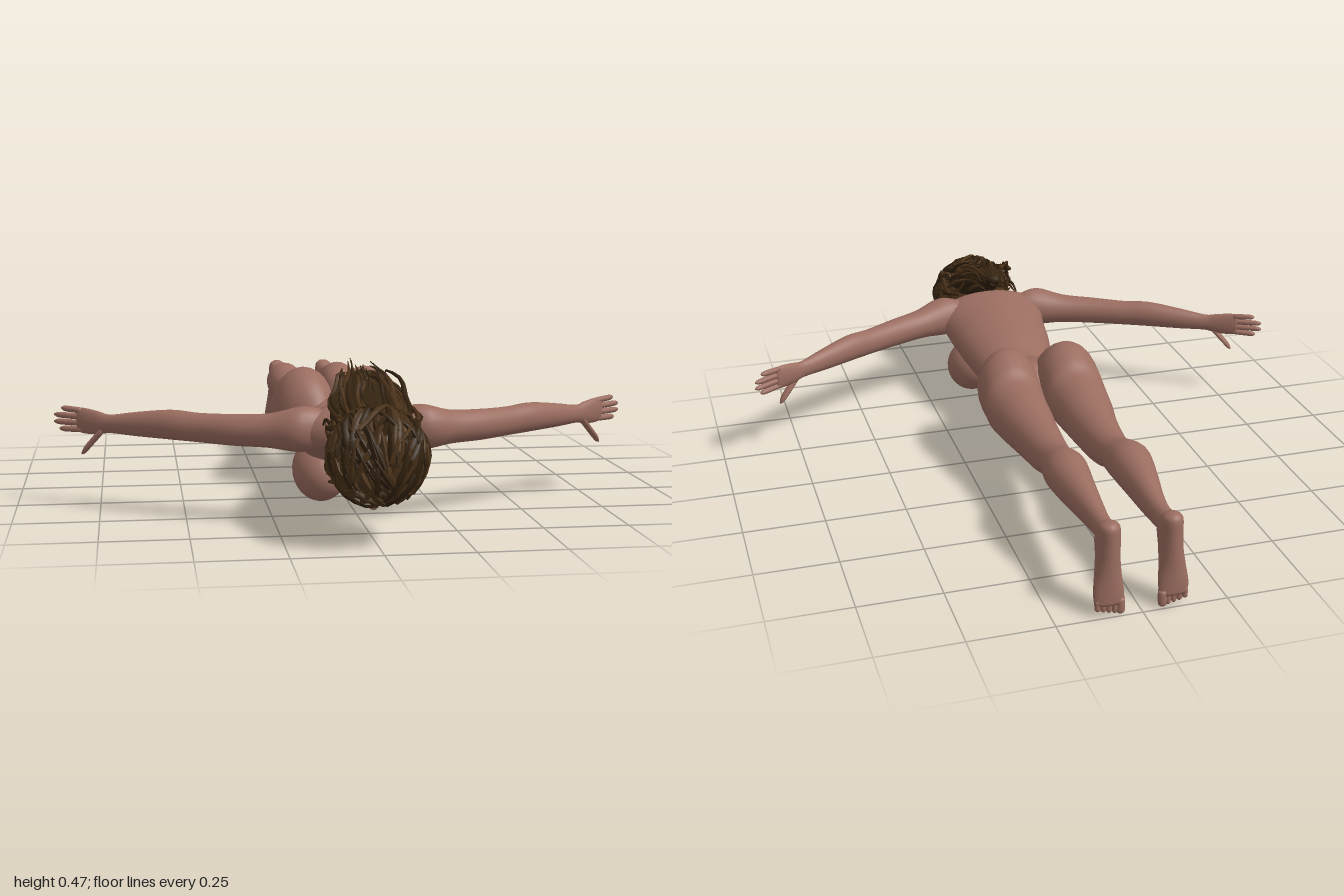
import * as THREE from 'three';
import { mergeGeometries } from 'three/addons/utils/BufferGeometryUtils.js';

const skin = new THREE.MeshStandardMaterial({ color: 0x9b6d60 });
skin.name = 'skin';
const hair = new THREE.MeshStandardMaterial({ color: 0x4c331a, side: THREE.DoubleSide });
hair.name = 'brown hair';
const darkHair = new THREE.MeshStandardMaterial({ color: 0x33220f, side: THREE.DoubleSide });
darkHair.name = 'dark hair';

const V = (x, y, z) => new THREE.Vector3(x, y, z);
const X = V(1, 0, 0), Y = V(0, 1, 0), Z = V(0, 0, 1);

let seed = 7;
const rnd = (a = 0, b = 1) => {
  seed = (seed * 16807) % 2147483647;
  return a + (b - a) * seed / 2147483647;
};

// Smooth closed skin through elliptical sections [x, y, z, radiusAlongU, radiusAlongV]
function loft(sections, u, v, sides = 24, steps = 4) {
  const path = new THREE.CatmullRomCurve3(sections.map(s => V(s[0], s[1], s[2])), false, 'catmullrom');
  const size = new THREE.CatmullRomCurve3(sections.map(s => V(s[3], s[4], 0)), false, 'catmullrom');
  const rings = (sections.length - 1) * steps, pos = [], idx = [];
  for (let i = 0; i <= rings; i++) {
    const c = path.getPoint(i / rings), r = size.getPoint(i / rings);
    for (let j = 0; j < sides; j++) {
      const a = j / sides * Math.PI * 2;
      const p = c.clone().addScaledVector(u, Math.cos(a) * r.x).addScaledVector(v, Math.sin(a) * r.y);
      pos.push(p.x, p.y, p.z);
    }
  }
  const first = path.getPoint(0), last = path.getPoint(1);
  const flip = u.clone().cross(v).dot(last.clone().sub(first)) < 0;
  const tri = (a, b, c) => flip ? idx.push(a, c, b) : idx.push(a, b, c);
  const n0 = (rings + 1) * sides;
  pos.push(first.x, first.y, first.z, last.x, last.y, last.z);
  for (let j = 0; j < sides; j++) {
    const k = (j + 1) % sides;
    for (let i = 0; i < rings; i++) {
      const a = i * sides, b = a + sides;
      tri(a + j, a + k, b + k);
      tri(a + j, b + k, b + j);
    }
    tri(n0, k, j);
    tri(n0 + 1, rings * sides + j, rings * sides + k);
  }
  const g = new THREE.BufferGeometry();
  g.setAttribute('position', new THREE.Float32BufferAttribute(pos, 3));
  g.setIndex(idx);
  g.computeVertexNormals();
  return g;
}

// Finger or toe: tapered digit with a rounded tip
function digit(a, b, r, u, v) {
  const at = (t, k) => [...a.clone().lerp(b, t).toArray(), r * k, r * k];
  return loft([at(0, 1), at(0.5, 1), at(0.85, 0.9), at(1, 0.3)], u, v, 10, 3);
}

// Lock of hair tapering to a point
function lock(points, r) {
  const curve = new THREE.CatmullRomCurve3(points), n = 10, sides = 5;
  const g = new THREE.TubeGeometry(curve, n, r, sides, false), p = g.attributes.position;
  for (let i = 0; i <= n; i++) {
    const c = curve.getPointAt(i / n), k = 1 - 0.85 * (i / n) ** 2;
    for (let j = 0; j <= sides; j++) {
      const q = i * (sides + 1) + j;
      const w = V().fromBufferAttribute(p, q).sub(c).multiplyScalar(k).add(c);
      p.setXYZ(q, w.x, w.y, w.z);
    }
  }
  g.computeVertexNormals();
  return g;
}

export function createModel() {
  const model = new THREE.Group();
  const add = (name, geometry, material = skin, parent = model) => {
    const m = new THREE.Mesh(geometry, material);
    m.name = name;
    parent.add(m);
    return m;
  };
  const ball = (name, x, y, z, rx, ry, rz, material = skin, parent = model) => {
    const m = add(name, new THREE.SphereGeometry(1, 32, 20), material, parent);
    m.position.set(x, y, z);
    m.scale.set(rx, ry, rz);
    return m;
  };

  // Torso, from shoulders to hips
  add('torso', loft([
    [0, .27, .685, .05, .04], [0, .27, .655, .15, .062], [0, .265, .6, .185, .083],
    [0, .235, .5, .17, .105], [0, .22, .4, .158, .104], [0, .205, .3, .138, .098],
    [0, .19, .2, .116, .08], [0, .2, .12, .14, .092], [0, .205, .05, .17, .092],
    [0, .185, -.02, .14, .066], [0, .18, -.06, .05, .03]], X, Y, 36));
  add('neck', loft([[0, .275, .62, .075, .06], [0, .26, .69, .055, .055],
    [0, .24, .76, .052, .055], [0, .23, .83, .055, .055]], X, Y));

  // Head, facing down
  const head = new THREE.Group();
  head.name = 'head';
  model.add(head);
  add('face', loft([[0, .135, .725, .02, .02], [0, .15, .735, .045, .045], [0, .175, .775, .069, .07],
    [0, .19, .83, .084, .086], [0, .2, .89, .087, .09], [0, .22, .95, .05, .06]], X, Y), skin, head);
  add('nose', loft([[0, .112, .86, .008, .01], [0, .1, .83, .011, .014],
    [0, .1, .805, .017, .018], [0, .112, .794, .008, .008]], X, Y, 12), skin, head);
  ball('lips', 0, .116, .768, .026, .012, .011, skin, head);

  for (const s of [1, -1]) {
    const side = s > 0 ? 'left' : 'right';
    const chest = ball(side + 'Chest', s * .105, .133, .475, .082, .087, .108);
    chest.rotation.x = .4;

    // Leg, buttock to ankle
    add(side + 'Leg', loft([
      [.07, .21, .15, .035, .045], [.09, .228, .1, .08, .105], [.1, .247, .02, .098, .132],
      [.102, .235, -.06, .098, .117], [.103, .22, -.11, .097, .098], [.1, .217, -.2, .087, .088],
      [.095, .213, -.3, .073, .076], [.092, .215, -.42, .06, .065], [.092, .23, -.5, .054, .055],
      [.097, .247, -.6, .065, .067], [.095, .241, -.7, .053, .06], [.09, .232, -.8, .038, .048],
      [.088, .228, -.88, .029, .038], [.09, .232, -.95, .029, .036]]
      .map(([x, ...r]) => [s * x, ...r]), X, Y));

    // Foot, heel up and toes down
    add(side + 'Foot', loft([
      [.09, .28, -.97, .012, .012], [.09, .265, -.963, .029, .033], [.09, .22, -.95, .034, .048],
      [.091, .17, -.957, .034, .042], [.093, .12, -.967, .038, .032], [.094, .07, -.978, .044, .021],
      [.094, .035, -.984, .042, .014]].map(([x, ...r]) => [s * x, ...r]), X, Z));
    for (let i = 0; i < 5; i++) {
      const x = .061 + i * .0165, r = i ? .0085 : .013;
      add(side + 'Toe', digit(V(s * x, .05, -.984), V(s * x, i * .004, -.986), r, X, Z));
    }

    // Arm and palm, swept back with the thumb down
    const u = V(s * .483, 0, .876);
    add(side + 'Arm', loft([
      [.1, .275, .605, .045, .05], [.17, .275, .603, .062, .066], [.26, .268, .572, .049, .05],
      [.36, .265, .53, .043, .046], [.46, .265, .475, .037, .043], [.54, .268, .43, .037, .044],
      [.64, .262, .37, .028, .036], [.715, .257, .325, .018, .028], [.75, .257, .302, .016, .035],
      [.79, .26, .277, .013, .039], [.812, .261, .263, .01, .036]]
      .map(([x, ...r]) => [s * x, ...r]), u, Y));
    [.862, .884, .885, .868].forEach((tip, i) => {
      add(side + 'Finger', digit(V(s * .8, .29 - i * .019, .27),
        V(s * tip, .294 - i * .021, .27 - (tip - .8) * .62), .0092, u, Y));
    });
    add(side + 'Thumb', digit(V(s * .735, .242, .313), V(s * .802, .163, .285), .0125, u, Y));
  }

  // Hair: cap, tail core, then locks on top
  const hairGroup = new THREE.Group();
  hairGroup.name = 'hair';
  model.add(hairGroup);
  const cap = V(0, .245, .877), capSize = V(.13, .13, .114);
  ball('hairCap', 0, cap.y, cap.z, capSize.x, capSize.y, capSize.z, hair, hairGroup);
  add('hairTail', loft([[0, .3, .84, .09, .06], [0, .335, .76, .09, .055], [0, .375, .68, .075, .045],
    [0, .412, .6, .045, .03], [0, .415, .53, .015, .01]], X, Y, 16), darkHair, hairGroup);

  const locks = [[], []];
  const keep = g => locks[rnd() < .6 ? 0 : 1].push(g);
  // Locks combed over the cap towards the nape
  for (let i = 0; i < 110; i++) {
    const a = rnd(-Math.PI, Math.PI), e = rnd(.05, 1.1);
    const from = V(Math.cos(a) * Math.sin(e), Math.sin(a) * Math.sin(e) - .25, Math.cos(e)).normalize();
    if (i % 2) from.set(rnd(-1, 1), rnd(-1, -.4), rnd(.1, .8)).normalize();
    const to = V(rnd(-.7, .7), rnd(.5, 1), -.6).normalize();
    const mid = from.clone().add(to).add(V(from.x * .5, 0, .5));
    const pts = [from, from.clone().lerp(mid, .5), mid, mid.clone().lerp(to, .6), to]
      .map(p => p.normalize().multiplyScalar(rnd(1, 1.06)).multiply(capSize).add(cap));
    keep(lock(pts, rnd(.006, .012)));
  }
  // Locks of the tail streaming up and back
  for (let i = 0; i < 90; i++) {
    const w = rnd(-1, 1), h = rnd(-1, 1), end = rnd(.5, .66);
    const j = () => rnd(-.012, .012);
    keep(lock([V(w * .1, .32 + h * .04, .85), V(w * .11 + j(), .345 + h * .04, .76),
      V(w * .095 + j(), .38 + h * .04 + j(), .69), V(w * .07 + j(), .41 + h * .03 + j(), (end + .69) / 2),
      V(w * .055 + j(), .425 + h * .03 + j() * 1.5, end)], rnd(.006, .011)));
  }
  // Loose locks beside the face and neck
  for (let i = 0; i < 44; i++) {
    const s = i % 2 ? 1 : -1, y = rnd(.17, .34), end = rnd(.63, .76);
    keep(lock([V(s * .11, y, .88), V(s * rnd(.11, .13), y + rnd(-.01, .02), .82),
      V(s * rnd(.095, .125), y + rnd(-.02, .03), (end + .82) / 2),
      V(s * rnd(.08, .12), y + rnd(-.03, .05), end)], rnd(.005, .009)));
  }
  add('hairLocks', mergeGeometries(locks[0]), hair, hairGroup);
  add('darkHairLocks', mergeGeometries(locks[1]), darkHair, hairGroup);

  return model;
}
